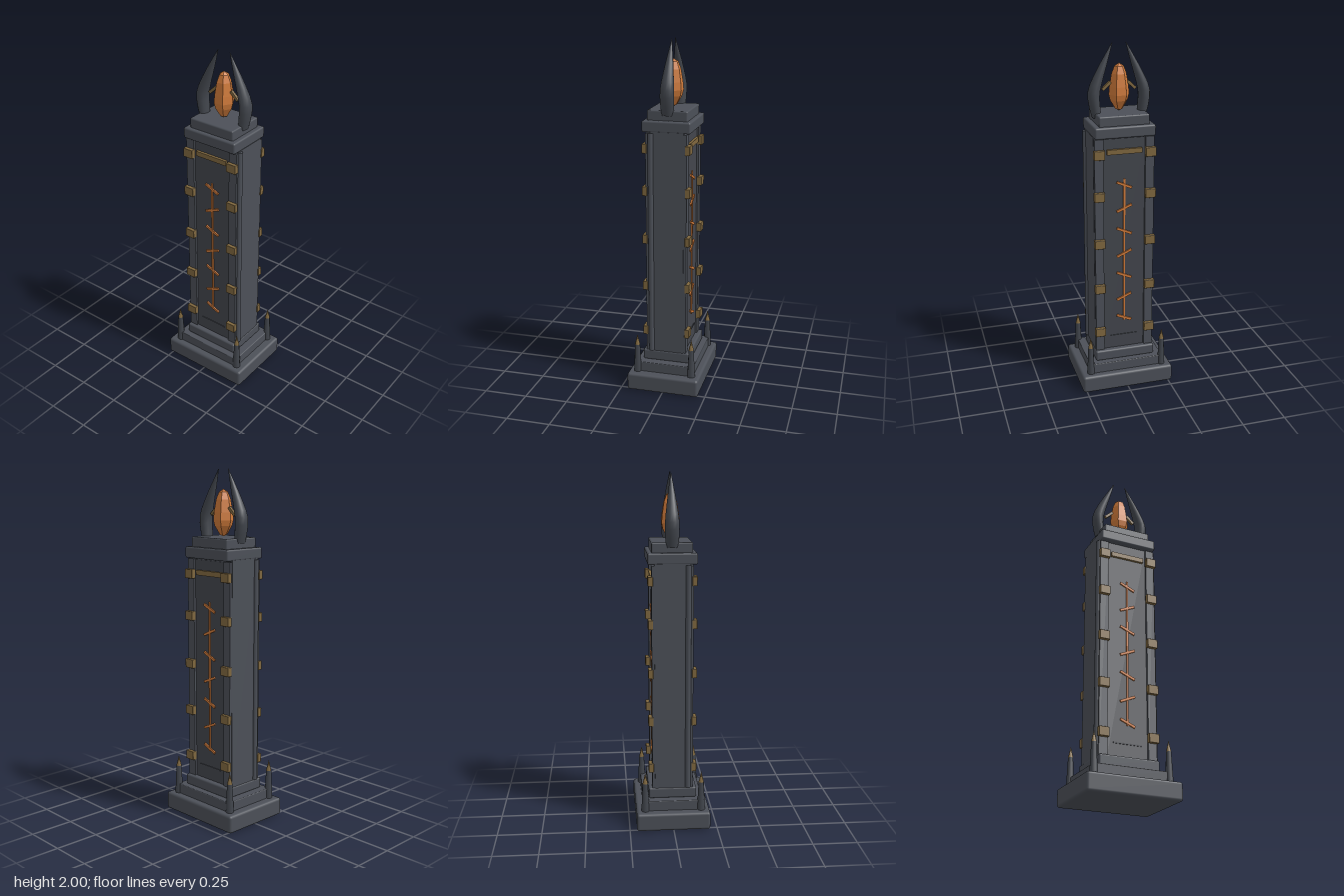
import * as THREE from 'three';
import { RoundedBoxGeometry } from 'three/addons/geometries/RoundedBoxGeometry.js';

const mat = (name, color, flatShading = false) => {
  const m = new THREE.MeshStandardMaterial({ color, flatShading });
  m.name = name;
  return m;
};

export function createModel() {
  const root = new THREE.Group();
  root.name = 'obelisk';
  const stone = mat('slate stone', 0x4c5058);
  const panelStone = mat('dark panel stone', 0x43464d);
  const horn = mat('horn grey', 0x42464d);
  const brass = mat('aged brass', 0x80683f);
  const ember = mat('ember orange', 0xcf7a3a);
  ember.flatShading = true;

  const add = (name, geo, material, x = 0, y = 0, z = 0) => {
    const m = new THREE.Mesh(geo, material);
    m.name = name;
    m.position.set(x, y, z);
    root.add(m);
    return m;
  };
  const box = (w, h, d) => new THREE.BoxGeometry(w, h, d);
  // Slab from bottom to top height, with softened edges
  const slab = (name, w, d, y0, y1, r) =>
    add(name, new RoundedBoxGeometry(w, y1 - y0, d, 2, r), stone, 0, (y0 + y1) / 2, 0);

  // Stepped plinth and capital
  slab('plinth', 0.545, 0.42, 0, 0.103, 0.015);
  slab('plinthStep', 0.44, 0.34, 0.09, 0.16, 0.005);
  slab('shaftFoot', 0.352, 0.274, 0.16, 0.222, 0.01);
  slab('capital', 0.342, 0.274, 1.51, 1.573, 0.01);
  slab('capitalStep', 0.284, 0.228, 1.565, 1.628, 0.008);

  // Shaft core
  add('shaft', box(0.344, 1.3, 0.2), stone, 0, 0.865, 0);

  // Front and back faces: panel, posts, clamps and glowing crack
  for (const s of [1, -1]) {
    add('panel', box(0.236, 1.28, 0.006), panelStone, 0, 0.862, s * 0.102);
    add('panelLintel', box(0.2, 0.028, 0.02), brass, 0, 1.43, s * 0.11);
    add('panelSill', box(0.165, 0.008, 0.008), panelStone, 0, 0.3, s * 0.105);
    for (const x of [-1, 1]) {
      add('cornerPost', box(0.05, 1.285, 0.03), stone, x * 0.145, 0.862, s * 0.101);
      for (const y of [0.345, 0.622, 0.9, 1.18, 1.42])
        add('clamp', new RoundedBoxGeometry(0.06, 0.052, 0.028, 1, 0.003), brass, x * 0.146, y, s * 0.122);
    }
    add('crack', box(0.01, 0.87, 0.008), ember, 0, 0.835, s * 0.108);
    for (let i = 0; i < 7; i++) {
      const bar = add('crackBranch', box(0.094, 0.014, 0.008), ember, 0, 0.415 + i * 0.1367, s * 0.11);
      bar.rotation.z = (i % 2 ? 1 : -1) * s * 0.41;
    }
  }

  for (const s of [-1, 1]) {
    // Round rod on each side face, near the front
    add('sideRod', new THREE.CylinderGeometry(0.016, 0.016, 1.285, 12), stone, s * 0.17, 0.865, 0.087);

    // Corner spikes with brass tips
    for (const z of [-0.16, 0.16]) {
      add('spike', new THREE.CylinderGeometry(0.015, 0.023, 0.17, 8), horn, s * 0.216, 0.185, z);
      add('spikeTip', new THREE.ConeGeometry(0.015, 0.063, 8), brass, s * 0.216, 0.3015, z);
    }

    // Curved horn: rings of height, centre x, half width, half depth
    const rings = [
      [1.6, 0.128, 0.024, 0.034], [1.65, 0.136, 0.03, 0.038], [1.7, 0.142, 0.032, 0.04],
      [1.74, 0.141, 0.033, 0.039], [1.78, 0.13, 0.032, 0.035], [1.83, 0.111, 0.027, 0.028],
      [1.88, 0.09, 0.021, 0.021], [1.94, 0.064, 0.012, 0.011], [2, 0.038, 0.002, 0.001],
    ];
    const n = rings.length - 1;
    const geo = new THREE.CylinderGeometry(1, 1, n, 16, n);
    const p = geo.attributes.position;
    for (let i = 0; i < p.count; i++) {
      const [y, cx, hx, hz] = rings[Math.round(p.getY(i) + n / 2)];
      p.setXYZ(i, s * cx + p.getX(i) * hx, y, p.getZ(i) * hz);
    }
    geo.computeVertexNormals();
    add('horn', geo, horn);

    // Small brass prong beside the crystal
    const prong = add('crystalProng', box(0.062, 0.016, 0.016), brass, s * 0.07, 1.77, 0);
    prong.rotation.z = -s * 0.75;
  }

  // Faceted crystal
  const profile = [[0, 1.632], [0.02, 1.64], [0.05, 1.69], [0.058, 1.722], [0.054, 1.765],
    [0.042, 1.835], [0.026, 1.875], [0, 1.892]].map(([x, y]) => new THREE.Vector2(x, y));
  add('crystal', new THREE.LatheGeometry(profile, 6, Math.PI / 2), ember);

  return root;
}
